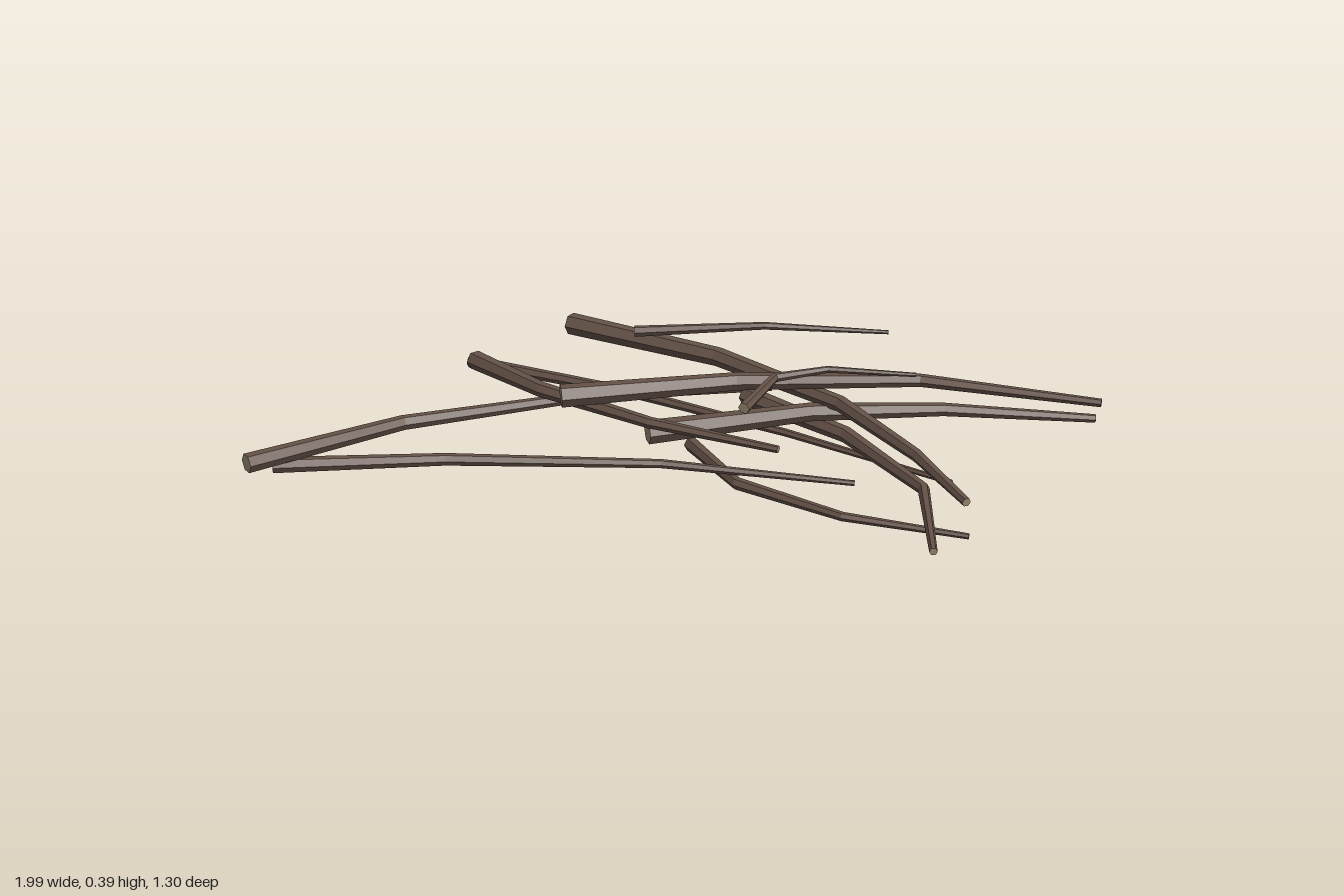
import * as THREE from 'three';

const bark = new THREE.MeshStandardMaterial({ color: 0x655248 });
bark.name = 'bark';
const cutWood = new THREE.MeshStandardMaterial({ color: 0x94866a });
cutWood.name = 'cutWood';

const SIDES = 6;
const TIP_RATIO = 0.36;
const UP = new THREE.Vector3(0, 1, 0);

// Faceted mesh from a flat list of triangle corners
function facetedMesh(corners, material, name) {
  const geometry = new THREE.BufferGeometry().setFromPoints(corners);
  geometry.computeVertexNormals();
  const mesh = new THREE.Mesh(geometry, material);
  mesh.name = name;
  return mesh;
}

// A tapering six-sided stick: plan is its bent path as [x, z] from the thick
// end to the tip, its height runs from startY to endY and bows up by arch
function makeBranch(name, radius, startY, endY, arch, plan) {
  const last = plan.length - 1;
  const points = plan.map(([x, z], i) => {
    const y = THREE.MathUtils.lerp(startY, endY, i / last) + arch * Math.sin((Math.PI * i) / last);
    return new THREE.Vector3(x, y, z);
  });
  const rings = points.map((p, i) => {
    const before = points[Math.max(i - 1, 0)];
    const after = points[Math.min(i + 1, last)];
    const along = after.clone().sub(before).normalize();
    const u = along.clone().cross(UP).normalize();
    const v = along.clone().cross(u);
    const r = radius * THREE.MathUtils.lerp(1, TIP_RATIO, i / last);
    return Array.from({ length: SIDES }, (_, j) => {
      const a = (j / SIDES) * Math.PI * 2;
      return p.clone().addScaledVector(u, Math.cos(a) * r).addScaledVector(v, Math.sin(a) * r);
    });
  });

  const sides = [];
  const ends = [];
  for (let j = 0; j < SIDES; j++) {
    const k = (j + 1) % SIDES;
    for (let i = 0; i < last; i++) {
      const [a, b, c, d] = [rings[i][j], rings[i][k], rings[i + 1][k], rings[i + 1][j]];
      sides.push(a, b, c, a, c, d);
    }
    ends.push(points[0], rings[0][k], rings[0][j]);
    ends.push(points[last], rings[last][j], rings[last][k]);
  }

  const branch = new THREE.Group();
  branch.name = name;
  branch.add(facetedMesh(sides, bark, 'barkSides'), facetedMesh(ends, cutWood, 'cutEnds'));
  return branch;
}

export function createModel() {
  const pile = new THREE.Group();
  pile.name = 'branchPile';
  pile.add(
    // Bottom layer
    makeBranch('lowBackBranch', 0.022, 0.022, 0.033, 0.016, [[-0.16, -0.315], [0.1, -0.12], [0.44, -0.078], [0.765, -0.16]]),
    makeBranch('lowDiagonalBranch', 0.022, 0.109, 0.05, 0.011, [[-0.965, 0.545], [-0.6, 0.26], [-0.1, -0.052], [0.385, -0.265]]),
    makeBranch('longLeftBranch', 0.027, 0.15, 0.098, 0.012, [[-0.97, 0.638], [-0.79, 0.2], [-0.47, -0.26], [-0.075, -0.643]]),
    // Middle layer
    makeBranch('straightBackBranch', 0.019, 0.148, 0.189, 0.005, [[-0.893, -0.256], [-0.35, -0.262], [0.2, -0.21], [0.72, -0.13]]),
    makeBranch('rightCurvedBranch', 0.028, 0.215, 0.198, 0.006, [[0.02, -0.31], [0.38, -0.21], [0.69, -0.02], [0.842, 0.262]]),
    makeBranch('frontThickBranch', 0.032, 0.264, 0.233, 0.014, [[-0.025, 0.14], [0.28, -0.19], [0.57, -0.41], [0.927, -0.61]]),
    makeBranch('crossingBranch', 0.032, 0.307, 0.274, 0.009, [[-0.576, -0.33], [-0.08, -0.325], [0.36, -0.21], [0.66, -0.035], [0.862, 0.122]]),
    makeBranch('leftShortBranch', 0.027, 0.289, 0.304, 0.011, [[-0.675, 0.008], [-0.37, 0.12], [0, 0.17], [0.36, 0.14]]),
    // Top layer
    makeBranch('upperThickBranch', 0.031, 0.346, 0.355, 0.006, [[-0.245, 0.213], [0.11, -0.09], [0.53, -0.338], [0.993, -0.44]]),
    makeBranch('backTwig', 0.016, 0.348, 0.36, 0.018, [[-0.325, -0.28], [0, -0.45], [0.31, -0.61]]),
    makeBranch('topTwig', 0.016, 0.367, 0.383, 0.014, [[0.23, 0.085], [0.22, -0.1], [0.32, -0.21], [0.53, -0.308]]),
  );
  return pile;
}
